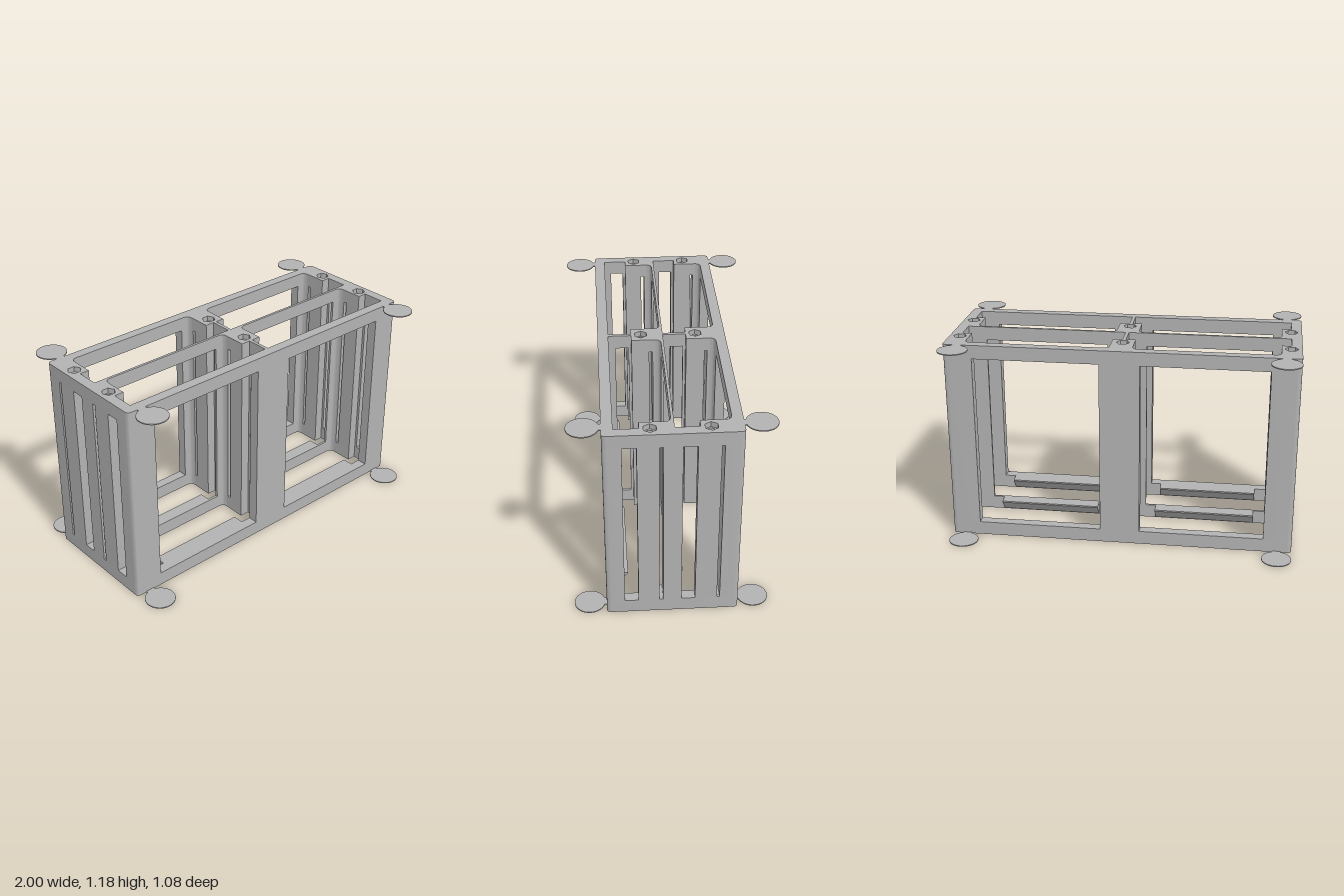
import * as THREE from 'three';
import { toCreasedNormals } from 'three/addons/utils/BufferGeometryUtils.js';

const H = 1.18, LOW = 0.08, HIGH = 1.1;   // total height, window bottom and top
const CELL_Z = [-0.305, 0.005];           // back edge of each row of bays
const POST_X = [-0.94, 0, 0.94];
const HOLE_Z = [-0.195, 0.115];

// Trace a plan outline of [x, z, cornerRadius] points
function trace(path, pts) {
  const n = pts.length;
  pts.forEach(([x, z, r = 0], i) => {
    const p = new THREE.Vector2(x, z);
    const toward = (q) => new THREE.Vector2(q[0], q[1]).sub(p).setLength(r).add(p);
    const a = r ? toward(pts[(i + n - 1) % n]) : p;
    if (i === 0) path.moveTo(a.x, a.y); else path.lineTo(a.x, a.y);
    if (r) {
      const b = toward(pts[(i + 1) % n]);
      path.quadraticCurveTo(p.x, p.y, b.x, b.y);
    }
  });
  path.closePath();
  return path;
}

const mirrorX = (pts) => pts.map(([x, z, r]) => [-x, z, r]).reverse();

// Ring of points for a bolt hole or a hexagonal nut pocket
function ring(cx, cz, radius, sides) {
  return Array.from({ length: sides }, (_, i) => {
    const a = (i / sides) * Math.PI * 2;
    return [cx + radius * Math.cos(a), cz + radius * Math.sin(a)];
  });
}

// Extrude a plan upright between two heights
function slab(pts, holes, y0, y1) {
  const shape = trace(new THREE.Shape(), pts);
  holes.forEach((h) => shape.holes.push(trace(new THREE.Path(), h)));
  const g = new THREE.ExtrudeGeometry(shape, { depth: y1 - y0, bevelEnabled: false, curveSegments: 6 });
  g.rotateX(Math.PI / 2).translate(0, y1, 0);
  return toCreasedNormals(g, 0.6);
}

export function createModel() {
  const model = new THREE.Group();
  model.name = 'batteryRack';
  const gray = new THREE.MeshStandardMaterial({ color: 0xb2b2b2 });
  gray.name = 'gray';
  const add = (name, geometry) => {
    const mesh = new THREE.Mesh(geometry, gray);
    mesh.name = name;
    model.add(mesh);
    return mesh;
  };

  // Top and bottom frames with four bays and six bolt holes
  const outline = [[-1, -0.363, 0.025], [1, -0.363, 0.025], [1, 0.36, 0.025], [-1, 0.36, 0.025]];
  const bays = CELL_Z.flatMap((z) => {
    const bay = [
      [0.065, z, 0.035], [0.885, z, 0.035], [0.885, z + 0.165], [0.94, z + 0.165],
      [0.94, z + 0.295], [0.01, z + 0.295], [0.01, z + 0.165], [0.065, z + 0.165],
    ];
    return [bay, mirrorX(bay)];
  });
  const bolts = (radius, sides) => HOLE_Z.flatMap((z) => POST_X.map((x) => ring(x, z, radius, sides)));
  add('bottomFrame', slab(outline, [...bays, ...bolts(0.024, 20)], 0, LOW));
  add('topFrame', slab(outline, [...bays, ...bolts(0.024, 20)], HIGH, H - 0.03));
  add('nutPocketFrame', slab(outline, [...bays, ...bolts(0.038, 6)], H - 0.03, H));

  // Side uprights between the slots, mirrored left and right
  const sideStrips = [
    { pts: [[1, 0.26], [1, 0.36, 0.025], [0.835, 0.36], [0.835, 0.3], [0.94, 0.3], [0.94, 0.26]] },
    { pts: [[1, 0.07], [1, 0.185], [0.94, 0.185], [0.94, 0.17], [0.885, 0.17], [0.885, 0.07]], hole: 0.115 },
    { pts: [[1, -0.05], [1, 0.05], [0.885, 0.05], [0.885, 0.005, 0.035], [0.835, 0.005],
      [0.835, -0.01], [0.94, -0.01], [0.94, -0.05]] },
    { pts: [[1, -0.245], [1, -0.125], [0.94, -0.125], [0.94, -0.14], [0.885, -0.14], [0.885, -0.245]], hole: -0.195 },
    { pts: [[1, -0.363, 0.025], [1, -0.26], [0.885, -0.26], [0.885, -0.305, 0.035], [0.835, -0.305], [0.835, -0.363]] },
  ];
  for (const { pts, hole } of sideStrips) {
    for (const s of [1, -1]) {
      const holes = hole === undefined ? [] : [ring(s * 0.94, hole, 0.024, 20)];
      add('sideUpright', slab(s > 0 ? pts : mirrorX(pts), holes, LOW, HIGH));
    }
  }

  // Centre uprights, each given as its right half
  const centreStrips = [
    { half: [[0.01, 0.26], [0.01, 0.3], [0.115, 0.3], [0.115, 0.36]] },
    { half: [[0.065, 0.07], [0.065, 0.17], [0.01, 0.17], [0.01, 0.185]], hole: 0.115 },
    { half: [[0.01, -0.05], [0.01, -0.01], [0.115, -0.01], [0.115, 0.005], [0.065, 0.005, 0.035], [0.065, 0.05]] },
    { half: [[0.065, -0.245], [0.065, -0.14], [0.01, -0.14], [0.01, -0.125]], hole: -0.195 },
    { half: [[0.115, -0.363], [0.115, -0.305], [0.065, -0.305, 0.035], [0.065, -0.26]] },
  ];
  for (const { half, hole } of centreStrips) {
    const holes = hole === undefined ? [] : [ring(0, hole, 0.024, 20)];
    add('centreUpright', slab([...half, ...mirrorX(half)], holes, LOW, HIGH));
  }

  // Wedge ledges at the foot of each bay: flat on top, sloped underneath
  for (const z of [-0.01, 0.3]) {
    for (const s of [1, -1]) {
      const wedge = new THREE.Shape([
        new THREE.Vector2(0, 0.002), new THREE.Vector2(0, LOW),
        new THREE.Vector2(0.065, LOW), new THREE.Vector2(0.065, LOW - 0.008),
      ]);
      const g = new THREE.ExtrudeGeometry(wedge, { depth: 0.595, bevelEnabled: false });
      g.rotateY(Math.PI / 2).translate(s * 0.4725 - 0.2975, 0, z);
      add('ledge', g);
    }
  }

  // Thin corner discs with short necks, top and bottom
  for (const y of [0.003, H - 0.003]) {
    for (const x of [-0.915, 0.915]) {
      for (const s of [-1, 1]) {
        add('cornerDisc', new THREE.CylinderGeometry(0.085, 0.085, 0.006, 40)).position.set(x, y, s * 0.453);
        add('discNeck', new THREE.BoxGeometry(0.05, 0.006, 0.025)).position.set(x, y, s * 0.37);
      }
    }
  }
  return model;
}
